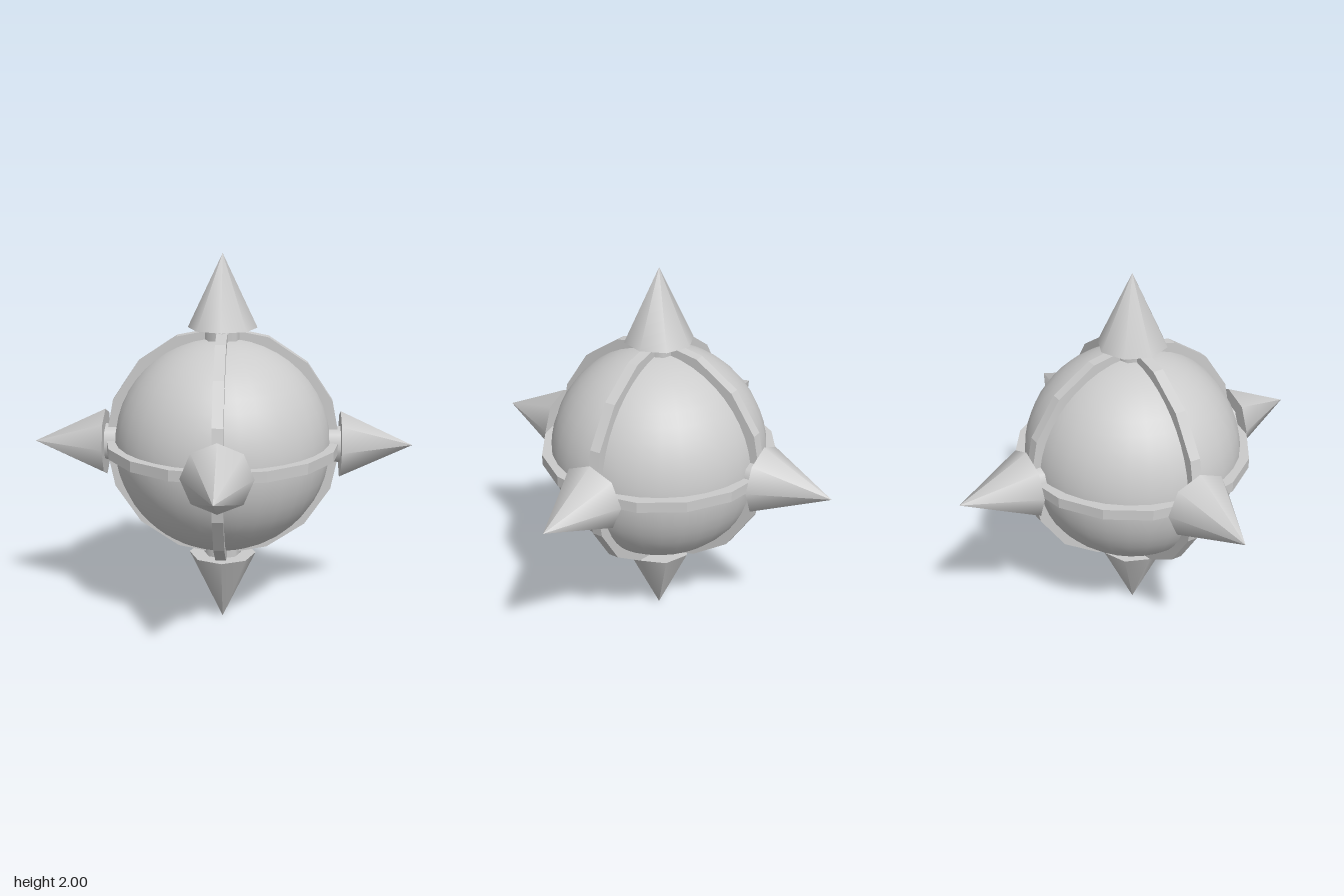
import * as THREE from 'three';

const SMOOTH = new THREE.MeshStandardMaterial({ color: 0xcccccc });
const FLAT = new THREE.MeshStandardMaterial({ color: 0xcccccc, flatShading: true });

function part(name, geometry, material = SMOOTH) {
  const mesh = new THREE.Mesh(geometry, material);
  mesh.name = name;
  return mesh;
}

export function createModel() {
  const model = new THREE.Group();
  model.name = 'spikedBall';

  // Everything is built around the ball's centre, then raised
  const ball = new THREE.Group();
  ball.name = 'ball';
  ball.position.y = 1;
  model.add(ball);

  ball.add(part('core', new THREE.SphereGeometry(0.57, 32, 24)));

  // Three 16-sided bands with a square section, one around each axis
  const inner = 0.53, outer = 0.622, half = 0.028;
  const profile = [
    [inner, -half], [outer, -half], [outer, half], [inner, half], [inner, -half],
  ].map(([x, y]) => new THREE.Vector2(x, y));
  const bandGeometry = new THREE.LatheGeometry(profile, 16);
  const bandTurns = { bandLevel: [0, 0, 0], bandSide: [0, 0, Math.PI / 2], bandFront: [Math.PI / 2, 0, 0] };
  for (const [name, turn] of Object.entries(bandTurns)) {
    const band = part(name, bandGeometry, FLAT);
    band.rotation.set(...turn);
    ball.add(band);
  }

  // Six eight-sided spikes on short posts, pointing along the axes
  const postGeometry = new THREE.CylinderGeometry(0.1, 0.1, 0.12, 8).translate(0, 0.565, 0);
  const coneGeometry = new THREE.ConeGeometry(0.18, 0.38, 8).translate(0, 0.81, 0);
  const spikeTurns = {
    spikeTop: [0, 0, 0],
    spikeBottom: [Math.PI, 0, 0],
    spikeFront: [Math.PI / 2, 0, 0],
    spikeBack: [-Math.PI / 2, 0, 0],
    spikeLeft: [0, 0, -Math.PI / 2],
    spikeRight: [0, 0, Math.PI / 2],
  };
  for (const [name, turn] of Object.entries(spikeTurns)) {
    const spike = new THREE.Group();
    spike.name = name;
    spike.add(part('post', postGeometry), part('cone', coneGeometry));
    spike.rotation.set(...turn);
    ball.add(spike);
  }

  return model;
}
